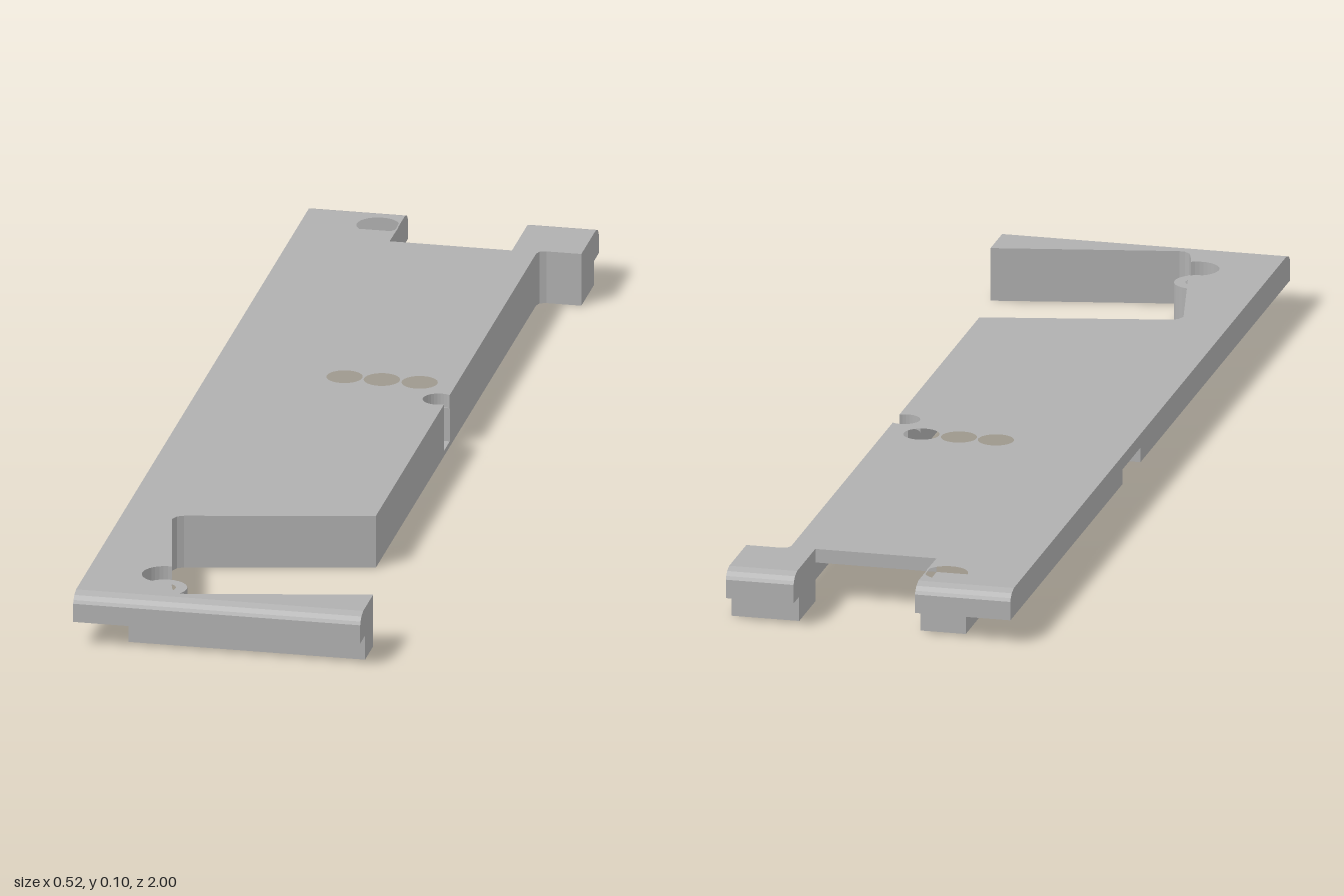
import * as THREE from 'three';

const body = new THREE.MeshStandardMaterial({ color: 0xb0b0b0 });
body.name = 'plain grey';

const TOP = 0.097, FLOOR = 0.072, LIP = 0.045;

// points [x, z] on an arc, angles in degrees measured from +x towards +z
function arc(cx, cz, r, from, to, n = 20) {
  return Array.from({ length: n + 1 }, (_, i) => {
    const a = THREE.MathUtils.degToRad(from + (to - from) * i / n);
    return [cx + r * Math.cos(a), cz + r * Math.sin(a)];
  });
}
const circle = (x, z, r) => arc(x, z, r, 0, 360, 28).slice(0, -1);
const rect = (x0, x1, z0, z1) => [[x0, z0], [x1, z0], [x1, z1], [x0, z1]];
const toVectors = pts => pts.map(([x, z]) => new THREE.Vector2(x, -z));

export function createModel() {
  const group = new THREE.Group();

  // upright prism over a plan outline
  function slab(name, outline, y0, y1, holes = []) {
    const shape = new THREE.Shape(toVectors(outline));
    holes.forEach(h => shape.holes.push(new THREE.Path(toVectors(h))));
    const geo = new THREE.ExtrudeGeometry(shape, { depth: y1 - y0, bevelEnabled: false });
    geo.rotateX(-Math.PI / 2).translate(0, y0, 0);
    const mesh = new THREE.Mesh(geo, body);
    mesh.name = name;
    group.add(mesh);
  }

  // rounded end strip, running along x at either end
  function endLip(name, x0, x1, side) {
    const profile = [[0.96, LIP], [1, LIP], [1, 0.079], [0.997, 0.085], [0.99, 0.092], [0.975, TOP], [0.96, TOP]];
    const shape = new THREE.Shape(profile.map(([z, y]) => new THREE.Vector2(-side * z, y)));
    const geo = new THREE.ExtrudeGeometry(shape, { depth: x1 - x0, bevelEnabled: false });
    geo.rotateY(Math.PI / 2).translate(x0, 0, 0);
    const mesh = new THREE.Mesh(geo, body);
    mesh.name = name;
    group.add(mesh);
  }

  const frontScrew = [-0.122, 0.868], backScrew = [-0.122, -0.92];
  // edge of the angled cutout, from the inner corner around the front screw
  const cutout = [
    [-0.15, 0.575], [-0.161, 0.581], [-0.167, 0.596],
    ...arc(...frontScrew, 0.04, -83, -299),
    [-0.094, 0.935], [-0.088, 0.948], [-0.078, 0.956], [-0.068, 0.957]
  ];

  // top plate
  slab('topPlate', [
    [-0.258, -0.96], [-0.085, -0.96], [-0.085, -0.845], [0.135, -0.845], [0.135, -0.96],
    [0.258, -0.96], [0.258, -0.853], [0.195, -0.853], [0.184, -0.849], [0.18, -0.838],
    ...arc(0.165, -0.09, 0.028, -57.6, -302.4),
    [0.18, 0.505], ...cutout, [0.258, 0.892], [0.258, 0.96], [-0.258, 0.96]
  ], FLOOR, TOP, [
    ...[-0.02, 0.047, 0.115].map(x => circle(x, -0.165, 0.032)),
    circle(...backScrew, 0.038)
  ]);

  endLip('frontLip', -0.258, 0.258, 1);
  endLip('backLeftLip', -0.258, -0.085, -1);
  endLip('backRightLip', 0.135, 0.258, -1);

  // side flange, interrupted by a shallow notch
  slab('sideFlangeBack', rect(-0.258, -0.167, -0.96, -0.2), LIP, FLOOR);
  slab('sideFlangeFront', [
    [-0.258, -0.07], [-0.167, -0.07], ...cutout.slice(2), [-0.068, 0.96], [-0.258, 0.96]
  ], LIP, FLOOR);

  // rim walls around the underside pocket, open at the back
  slab('pocketWallFront', [
    [0.18, -0.066], [0.18, 0.505], [-0.15, 0.575], [-0.161, 0.581], [-0.167, 0.596], [-0.167, -0.066],
    [-0.152, -0.066], [-0.152, 0.56], [0.165, 0.493], [0.165, -0.066]
  ], 0, FLOOR);
  slab('pocketWallSide', rect(-0.167, -0.152, -0.845, -0.066), 0, FLOOR);
  slab('pocketWallBack', rect(0.165, 0.18, -0.853, -0.114), 0, FLOOR);
  slab('wallSlotSill', rect(0.165, 0.18, -0.114, -0.066), 0, 0.01);

  // back legs
  slab('backLeftLeg', rect(-0.167, -0.085, -0.96, -0.845), 0, FLOOR, [circle(...backScrew, 0.02)]);
  slab('backRightLeg', [
    [0.135, -0.96], [0.258, -0.96], [0.258, -0.853], [0.195, -0.853], [0.184, -0.849],
    [0.18, -0.838], [0.165, -0.838], [0.135, -0.845]
  ], 0, FLOOR);

  // front arm with a wedge-shaped pocket, screw boss and corner wall
  slab('frontArm', [[-0.068, 0.957], [0.258, 0.892], [0.258, 0.96], [-0.068, 0.96]], 0, FLOOR,
    [[[0.09, 0.945], [0.243, 0.913], [0.243, 0.945]]]);
  slab('frontScrewBoss', circle(...frontScrew, 0.04), 0, FLOOR, [circle(...frontScrew, 0.02)]);
  slab('frontCornerWall', [
    [-0.167, 0.868], [-0.155, 0.868], [-0.155, 0.945], [-0.115, 0.945], [-0.115, 0.9], [-0.102, 0.9],
    [-0.094, 0.935], [-0.088, 0.948], [-0.068, 0.957], [-0.068, 0.96], [-0.167, 0.96]
  ], 0, LIP);

  return group;
}
